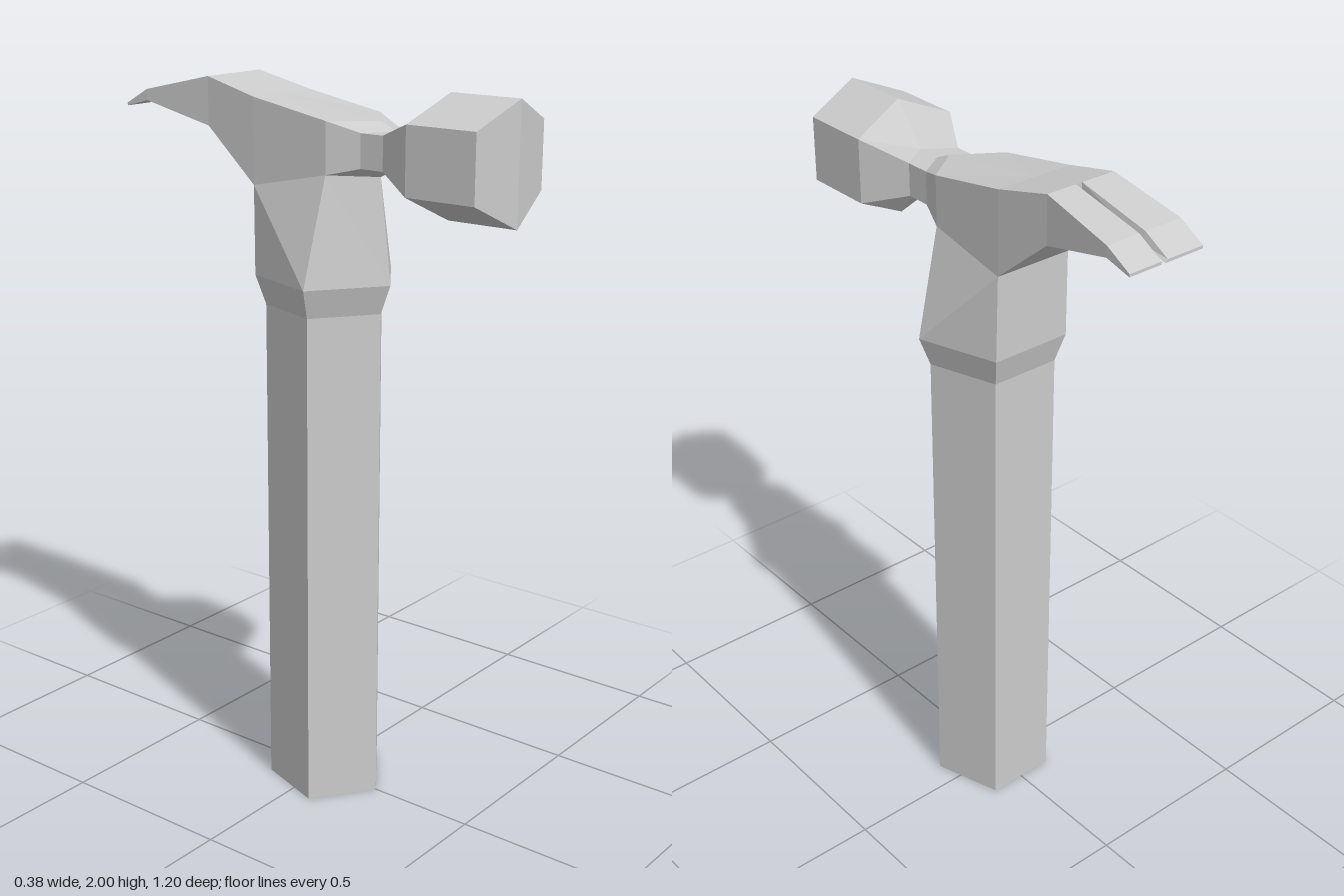
import * as THREE from 'three';

const material = new THREE.MeshStandardMaterial({ color: 0xcccccc, flatShading: true });

// Skins a series of closed rings with flat facets and caps both ends.
function loft(name, rings) {
  const points = [];
  const dist = (a, b) => Math.hypot(a[0] - b[0], a[1] - b[1], a[2] - b[2]);
  const tri = (a, b, c) => points.push(...a, ...b, ...c);
  const n = rings[0].length;
  for (let r = 0; r < rings.length - 1; r++) {
    for (let i = 0; i < n; i++) {
      const j = (i + 1) % n;
      const a = rings[r][i], b = rings[r][j], c = rings[r + 1][j], d = rings[r + 1][i];
      // split along the shorter diagonal so both sides mirror
      if (dist(a, c) <= dist(b, d)) { tri(a, b, c); tri(a, c, d); }
      else { tri(a, b, d); tri(b, c, d); }
    }
  }
  const first = rings[0], last = rings[rings.length - 1];
  for (let i = 1; i < n - 1; i++) {
    tri(first[0], first[i + 1], first[i]);
    tri(last[0], last[i], last[i + 1]);
  }
  const geometry = new THREE.BufferGeometry();
  geometry.setAttribute('position', new THREE.Float32BufferAttribute(points, 3));
  geometry.computeVertexNormals();
  const mesh = new THREE.Mesh(geometry, material);
  mesh.name = name;
  return mesh;
}

// Five-sided ring around the handle, one corner to the front.
function pentagon(y, radius, z) {
  return Array.from({ length: 5 }, (_, i) => {
    const a = (i * Math.PI * 2) / 5;
    return [radius * Math.sin(a), y, z + radius * Math.cos(a)];
  });
}

// Six-sided ring across the head: a middle corner above and below, two on each side.
function headRing({ x, side, mid, sideY, midY }) {
  const [st, sb] = sideY, [mt, mb] = midY;
  return [
    [0, mt, mid], [-x, st, side], [-x, sb, side],
    [0, mb, mid], [x, sb, side], [x, st, side],
  ];
}

export function createModel() {
  const group = new THREE.Group();

  // Grip with a flared collar
  group.add(loft('handle', [pentagon(0, 0.171, 0.019), pentagon(1.41, 0.171, 0.019)]));
  const flare = pentagon(1.49, 0.2, 0.02);
  group.add(loft('collar', [pentagon(1.41, 0.171, 0.019), flare]));

  // Socket tapering from the collar into the head
  const socketTop = [
    [0, 1.77, 0.185], [0.115, 1.78, 0.095], [0.115, 1.73, -0.145],
    [-0.115, 1.73, -0.145], [-0.115, 1.78, 0.095],
  ];
  group.add(loft('socket', [flare, socketTop]));

  // Head: cheek, neck and striking block
  const sections = [
    { x: 0.105, side: -0.31, mid: -0.31, sideY: [2.0, 1.87], midY: [2.0, 1.87] },
    { x: 0.115, side: -0.145, mid: -0.145, sideY: [1.96, 1.73], midY: [1.96, 1.73] },
    { x: 0.115, side: 0.095, mid: 0.185, sideY: [1.917, 1.78], midY: [1.912, 1.77] },
    { x: 0.08, side: 0.18, mid: 0.235, sideY: [1.89, 1.8], midY: [1.89, 1.795] },
    { x: 0.08, side: 0.25, mid: 0.305, sideY: [1.89, 1.8], midY: [1.89, 1.795] },
    { x: 0.15, side: 0.37, mid: 0.397, sideY: [1.935, 1.758], midY: [2.0, 1.683] },
    { x: 0.15, side: 0.573, mid: 0.6, sideY: [1.935, 1.758], midY: [2.0, 1.683] },
  ];
  group.add(loft('head', sections.map(headRing)));

  // Two claw prongs separated by a narrow slot: z, outer x, top y, bottom y
  const clawSections = [
    [-0.6, 0.116, 1.91, 1.902],
    [-0.525, 0.116, 1.952, 1.922],
    [-0.31, 0.105, 2.0, 1.87],
  ];
  const prong = (name, ring) => group.add(loft(name, clawSections.map(ring)));
  prong('leftClaw', ([z, x, t, b]) => [[x, t, z], [0.016, t, z], [0.016, b, z], [x, b, z]]);
  prong('rightClaw', ([z, x, t, b]) => [[-0.003, t, z], [-x, t, z], [-x, b, z], [0.004, b, z]]);

  return group;
}
